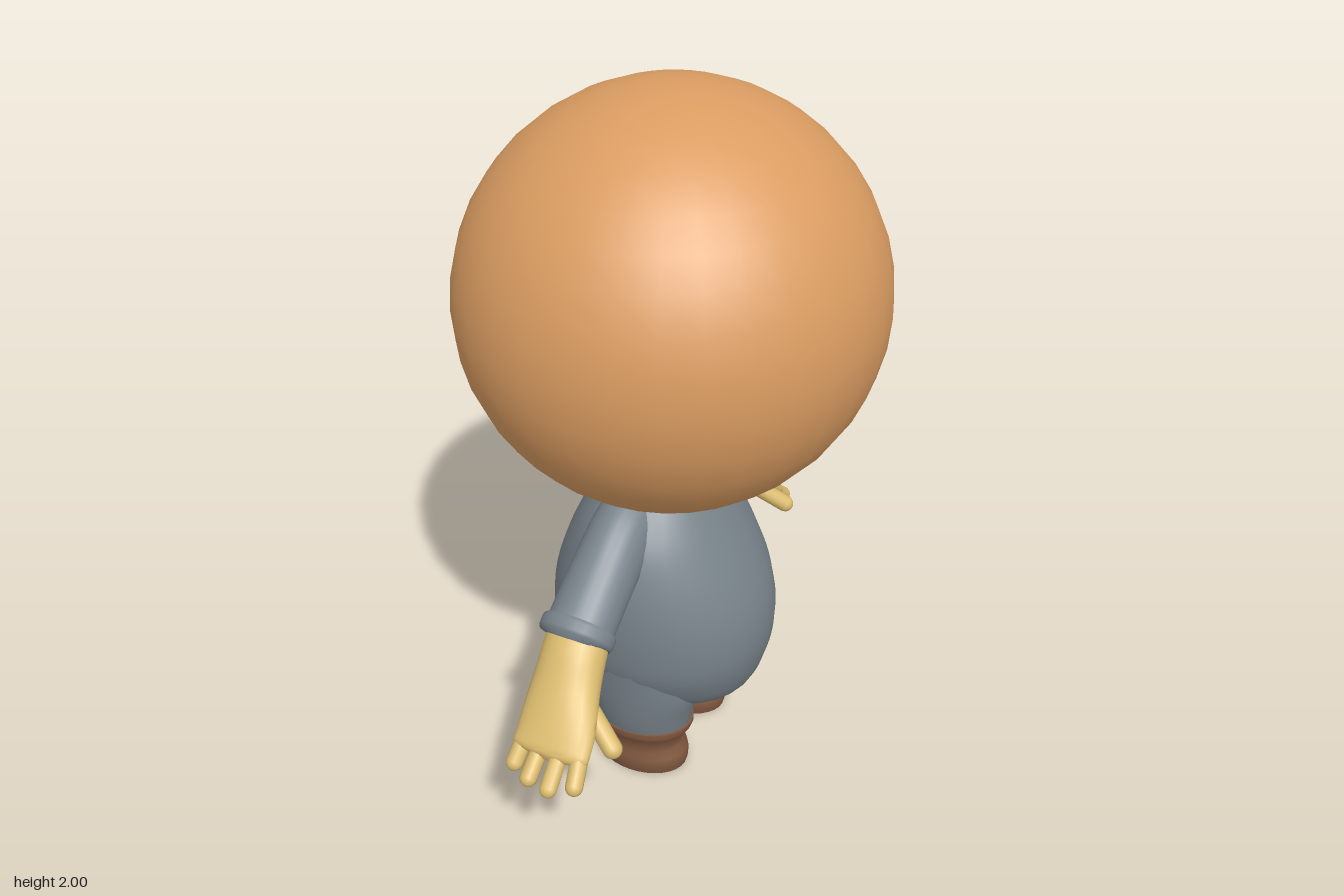
import * as THREE from 'three';
import { toCreasedNormals } from 'three/addons/utils/BufferGeometryUtils.js';

const V = (x, y, z) => new THREE.Vector3(x, y, z);

function material(name, color) {
  const m = new THREE.MeshStandardMaterial({ color });
  m.name = name;
  return m;
}

// Skin elliptical rings {c, u, v}; u x v points along the direction of travel.
function loft(rings, seg = 32, crease = 1) {
  const pos = [], index = [];
  rings.forEach(({ c, u, v }, j) => {
    for (let i = 0; i < seg; i++) {
      const a = (i / seg) * Math.PI * 2;
      pos.push(...c.clone().addScaledVector(u, Math.cos(a)).addScaledVector(v, Math.sin(a)).toArray());
      if (j === rings.length - 1) continue;
      const p = j * seg + i, q = j * seg + (i + 1) % seg;
      index.push(p, q, q + seg, p, q + seg, p + seg);
    }
  });
  const g = new THREE.BufferGeometry();
  g.setAttribute('position', new THREE.Float32BufferAttribute(pos, 3));
  g.setIndex(index);
  return toCreasedNormals(g, crease);
}

// Upright form, rows of [y, centre x, centre z, radius x, radius z].
const upright = (rows) => loft(rows.map(([y, x, z, rx, rz]) => ({ c: V(x, y, z), u: V(0, 0, rz), v: V(rx, 0, 0) })));

// Limb reaching along z, rows of [z, y, centre x, radius x, thickness radius].
function limb(rows, s) {
  const at = rows.map(([z, y, x]) => V(x, y, s * z));
  return loft(rows.map(([, , , rx, rt], i) => {
    const d = at[Math.min(i + 1, at.length - 1)].clone().sub(at[Math.max(i - 1, 0)]);
    d.x = 0;
    const u = V(1, 0, 0), v = d.normalize().clone().cross(u);
    return { c: at[i], u: u.multiplyScalar(rx), v: v.multiplyScalar(rt) };
  }), 24);
}

// Smoothly resample rows so that a few of them give a rounded form.
function smooth(rows, n) {
  const track = rows[0].map((_, k) => new THREE.CatmullRomCurve3(rows.map((r, i) => V(i, r[k], 0)), false, 'catmullrom', 0.5));
  return Array.from({ length: n + 1 }, (_, i) => track.map((t) => t.getPoint(i / n).y));
}

// Round-ended finger between two points.
function finger(a, b, r) {
  const g = new THREE.CapsuleGeometry(r, a.distanceTo(b), 6, 12);
  const q = new THREE.Quaternion().setFromUnitVectors(V(0, 1, 0), b.clone().sub(a).normalize());
  g.applyQuaternion(q);
  const m = a.clone().add(b).multiplyScalar(0.5);
  return g.translate(m.x, m.y, m.z);
}

export function createModel() {
  const model = new THREE.Group();
  const skin = material('orange head', 0xdb9d62);
  const cloth = material('grey cloth', 0x78838a);
  cloth.side = THREE.DoubleSide;
  const glove = material('yellow hand', 0xdcbc6f);
  const leather = material('brown leather', 0x80583f);

  function add(name, geometry, mat, parent = model) {
    const m = new THREE.Mesh(geometry, mat);
    m.name = name;
    parent.add(m);
    return m;
  }

  // Head
  const head = add('head', new THREE.SphereGeometry(1, 32, 20), skin);
  head.scale.set(0.547, 0.54, 0.56);
  head.position.y = 1.46;

  // Pear-shaped body
  add('body', upright(smooth([
    [0.2, -0.025, 0, 0.001, 0.001], [0.21, -0.025, 0, 0.15, 0.1],
    [0.245, -0.025, 0, 0.235, 0.175], [0.3, -0.023, 0, 0.28, 0.235],
    [0.4, -0.024, 0, 0.312, 0.287], [0.5, -0.025, 0, 0.32, 0.303],
    [0.6, -0.027, 0, 0.304, 0.305], [0.7, -0.032, 0, 0.268, 0.294],
    [0.8, -0.037, 0, 0.219, 0.265], [0.88, -0.04, 0, 0.175, 0.215],
    [0.955, -0.042, 0, 0.13, 0.15],
  ], 44)), cloth);

  for (const s of [1, -1]) {
    const side = s > 0 ? 'near' : 'far';

    // Leg
    add(side + 'Leg', upright(smooth([
      [0.165, -0.025, s * 0.145, 0.142, 0.11], [0.23, -0.025, s * 0.15, 0.155, 0.12],
      [0.32, -0.025, s * 0.155, 0.175, 0.127], [0.46, -0.025, s * 0.17, 0.17, 0.125],
    ], 12)), cloth);

    // Boot with a turned top band and a flat sole
    const boot = new THREE.Group();
    boot.name = side + 'Boot';
    model.add(boot);
    const z = s * 0.137;
    add('bootShell', upright([
      [0, -0.033, z, 0, 0], [0, -0.033, z, 0.137, 0.095], [0.012, -0.033, z, 0.14, 0.099],
      [0.035, -0.033, z, 0.142, 0.102], [0.055, -0.034, z, 0.139, 0.101], [0.075, -0.04, z, 0.129, 0.095],
      [0.1, -0.039, z, 0.13, 0.095], [0.13, -0.034, z, 0.138, 0.103], [0.16, -0.028, s * 0.145, 0.146, 0.111],
    ]), leather, boot);
    add('bootBand', upright([
      [0.157, -0.027, s * 0.146, 0.13, 0.1], [0.157, -0.027, s * 0.146, 0.15, 0.115],
      [0.168, -0.027, s * 0.146, 0.154, 0.118], [0.181, -0.026, s * 0.146, 0.153, 0.117],
      [0.181, -0.026, s * 0.146, 0.13, 0.1],
    ]), leather, boot);

    // Sleeve and cuff
    add(side + 'Sleeve', limb(smooth([
      [0.06, 0.86, -0.055, 0.085, 0.1], [0.18, 0.835, -0.055, 0.088, 0.105],
      [0.3, 0.77, -0.058, 0.09, 0.092], [0.44, 0.675, -0.062, 0.093, 0.083],
    ], 14), s), cloth);
    add(side + 'Cuff', limb([
      [0.423, 0.691, -0.062, 0.08, 0.07], [0.425, 0.689, -0.062, 0.099, 0.089],
      [0.433, 0.684, -0.062, 0.103, 0.094], [0.45, 0.671, -0.062, 0.103, 0.094],
      [0.458, 0.666, -0.062, 0.099, 0.089], [0.46, 0.664, -0.062, 0.08, 0.07],
    ], s), cloth);

    // Forearm and palm in one tapering form
    const hand = new THREE.Group();
    hand.name = side + 'Hand';
    model.add(hand);
    add('forearmAndPalm', limb(smooth([
      [0.4, 0.7, -0.06, 0.082, 0.072], [0.47, 0.645, -0.055, 0.087, 0.071],
      [0.53, 0.585, -0.048, 0.093, 0.062], [0.59, 0.53, -0.037, 0.104, 0.05],
      [0.64, 0.487, -0.03, 0.107, 0.037], [0.67, 0.463, -0.03, 0.098, 0.025],
      [0.682, 0.454, -0.03, 0.001, 0.001],
    ], 24), s), glove, hand);

    // Fingers: base x, tip x, tip z, tip y
    [[-0.108, -0.117, 0.695, 0.422], [-0.058, -0.064, 0.718, 0.41],
      [-0.005, 0, 0.73, 0.41], [0.045, 0.062, 0.707, 0.422]].forEach(([bx, tx, tz, ty], i) => {
      add('finger' + (i + 1), finger(V(bx, 0.495, s * 0.625), V(tx, ty, s * tz), 0.023), glove, hand);
    });
    add('thumb', finger(V(0.025, 0.54, s * 0.55), V(0.112, 0.473, s * 0.592), 0.026), glove, hand);
  }
  return model;
}
